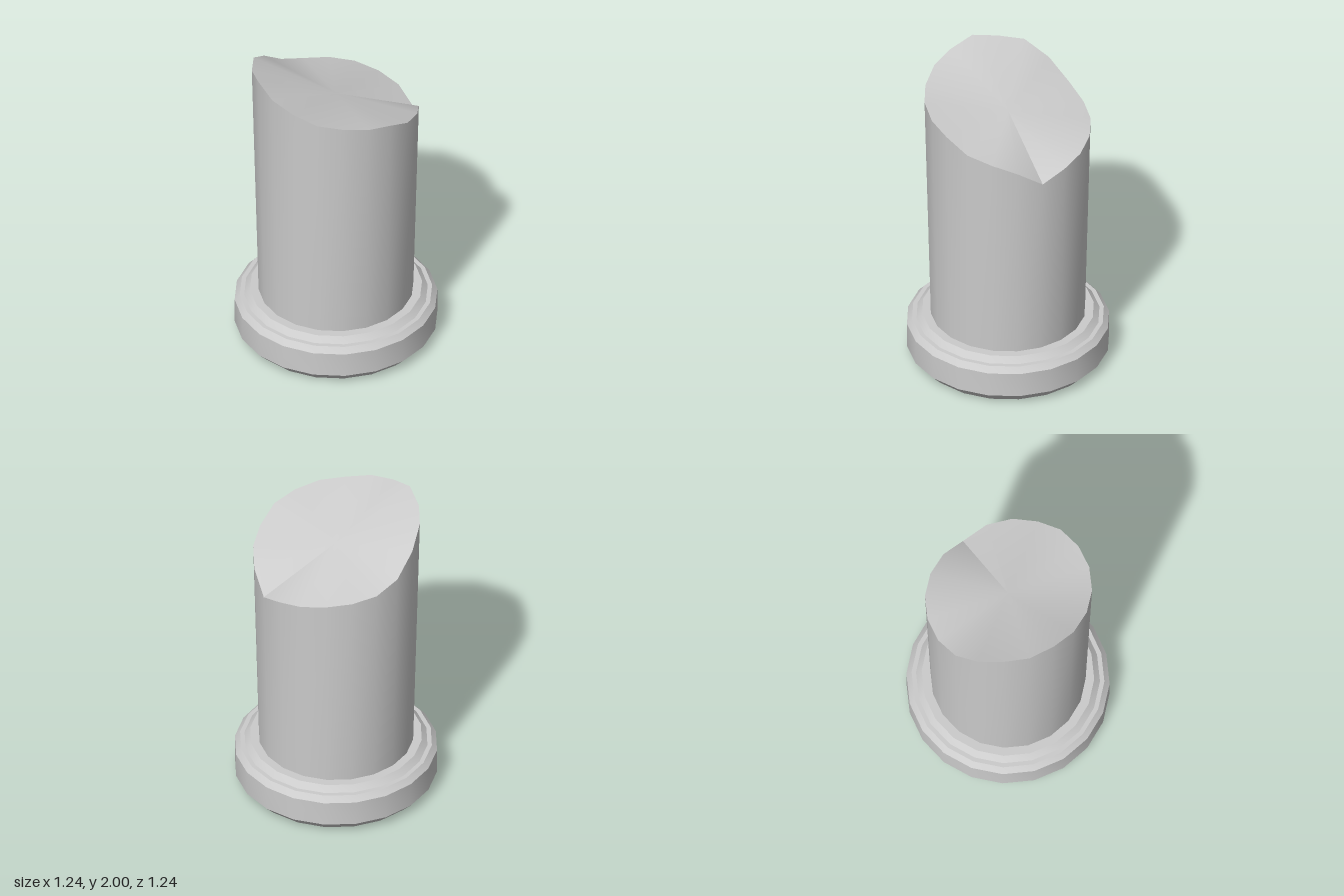
import * as THREE from 'three';
import { toCreasedNormals } from 'three/addons/utils/BufferGeometryUtils.js';

const SIDES = 20;
const CREASE = 0.6;

// Height of the broken rim at each corner, going from +x through +z
const RIM = [
  1.58, 1.525, 1.63, 1.69, 1.73, 1.80, 1.83, 1.86, 1.88, 1.925,
  1.957, 2.0, 1.965, 1.945, 1.85, 1.735, 1.68, 1.66, 1.64, 1.61,
];
const BREAK_CENTRE = 1.76;
const FOOT = 0.3;

// The shaft widens slightly with height
const shaftRadius = (y) => 0.475 + 0.025 * (y - FOOT);

function makeShaft() {
  const geo = new THREE.CylinderGeometry(0.5, 0.475, 1.4, SIDES, 1);
  geo.translate(0, FOOT + 0.7, 0);
  const pos = geo.attributes.position;
  for (let i = 0; i < pos.count; i++) {
    if (pos.getY(i) < 1) continue;
    const x = pos.getX(i), z = pos.getZ(i);
    if (Math.hypot(x, z) < 0.01) {
      pos.setY(i, BREAK_CENTRE);
      continue;
    }
    const k = Math.round((Math.atan2(z, x) / (2 * Math.PI)) * SIDES);
    const a = (k / SIDES) * 2 * Math.PI;
    const y = RIM[(k + SIDES) % SIDES];
    const r = shaftRadius(y);
    pos.setXYZ(i, r * Math.cos(a), y, r * Math.sin(a));
  }
  return toCreasedNormals(geo, CREASE);
}

function makeBase() {
  // Bevelled foot, straight band, stepped shoulder
  const profile = [
    [0, 0], [0.556, 0], [0.622, 0.068], [0.622, 0.23],
    [0.59, 0.265], [0.563, 0.265], [0.528, 0.3], [0, 0.3],
  ].map(([r, y]) => new THREE.Vector2(r, y));
  return toCreasedNormals(new THREE.LatheGeometry(profile, SIDES), CREASE);
}

export function createModel() {
  const group = new THREE.Group();
  group.name = 'brokenColumn';
  const stone = new THREE.MeshStandardMaterial({ color: 0xcccccc });

  const base = new THREE.Mesh(makeBase(), stone);
  base.name = 'base';
  const shaft = new THREE.Mesh(makeShaft(), stone);
  shaft.name = 'brokenShaft';

  group.add(base, shaft);
  return group;
}
